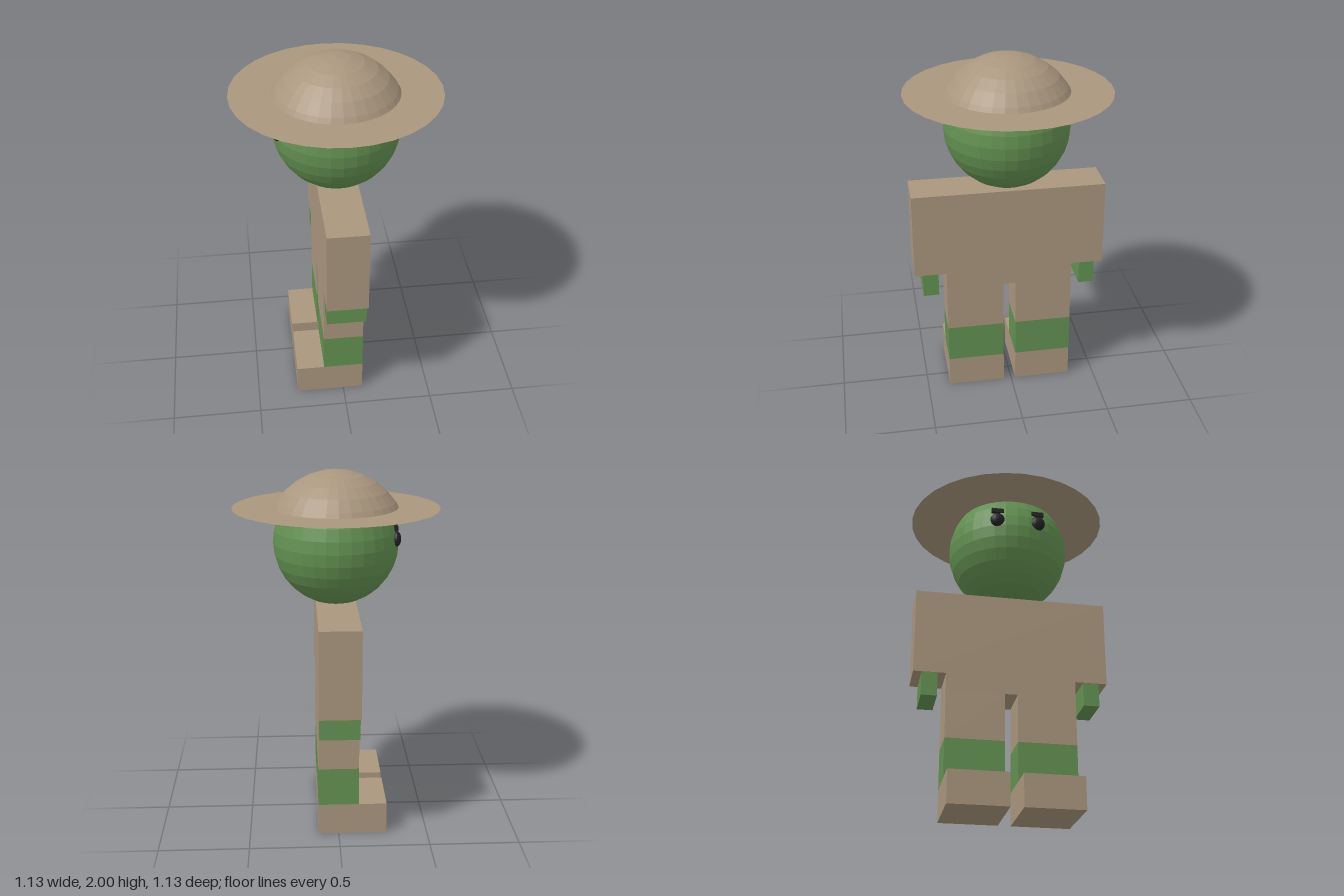
import * as THREE from 'three';

export function createModel() {
  const model = new THREE.Group();
  const mat = (name, color, extra = {}) =>
    Object.assign(new THREE.MeshStandardMaterial({ color, flatShading: true, ...extra }), { name });
  const tan = mat('tan cloth', 0xa9967e, { side: THREE.DoubleSide });
  const green = mat('green skin', 0x639151);
  const black = mat('black', 0x222224);
  const Z = 0.01; // body centre in z

  const add = (name, geometry, material, x = 0, y = 0, z = 0) => {
    const mesh = new THREE.Mesh(geometry, material);
    mesh.name = name;
    mesh.position.set(x, y, z);
    model.add(mesh);
    return mesh;
  };
  // Box given by its limits
  const box = (name, material, [x0, x1], [y0, y1], [z0, z1]) =>
    add(name, new THREE.BoxGeometry(x1 - x0, y1 - y0, z1 - z0), material,
      (x0 + x1) / 2, (y0 + y1) / 2, (z0 + z1) / 2);

  // Shirt with short sleeves, and hips below it
  const depth = [-0.113, 0.113];
  box('shirt', tan, depth, [0.77, 1.26], [Z - 0.54, Z + 0.54]);
  box('hips', tan, depth, [0.67, 0.77], [Z - 0.36, Z + 0.36]);

  // Limbs, eyes and brows on both sides
  for (const s of [-1, 1]) {
    const span = (a, b) => (s > 0 ? [Z + a, Z + b] : [Z - b, Z - a]);
    const leg = span(0.035, 0.36);
    box('trouserLeg', tan, depth, [0.4, 0.67], leg);
    box('shin', green, depth, [0.18, 0.4], leg);
    box('shoe', tan, [-0.27, 0.113], [0, 0.18], leg);
    box('hand', green, [-0.11, 0.11], [0.635, 0.77], span(0.406, 0.494));

    const eye = add('eye', new THREE.SphereGeometry(1, 16, 12), black, -0.32, 1.643, Z + s * 0.115);
    eye.scale.set(0.027, 0.043, 0.042);
    box('brow', black, [-0.327, -0.308], [1.692, 1.717], span(0.08, 0.15));
  }

  // Round head
  add('head', new THREE.SphereGeometry(0.345, 32, 16), green, 0, 1.608, 0.007);

  // Hat: dome cut from a sphere, with a flat brim
  const R = 0.39, cut = Math.acos(0.19 / R), profile = [];
  for (let i = 0; i <= 5; i++) profile.push(i * Math.PI / 16);
  profile.push(cut);
  const points = profile.map(a => new THREE.Vector2(R * Math.sin(a), R * Math.cos(a))).reverse();
  add('hatDome', new THREE.LatheGeometry(points, 32), tan, 0, 1.61, 0.005);
  add('hatBrim', new THREE.CircleGeometry(0.566, 32).rotateX(-Math.PI / 2), tan, 0, 1.8, 0);

  return model;
}
